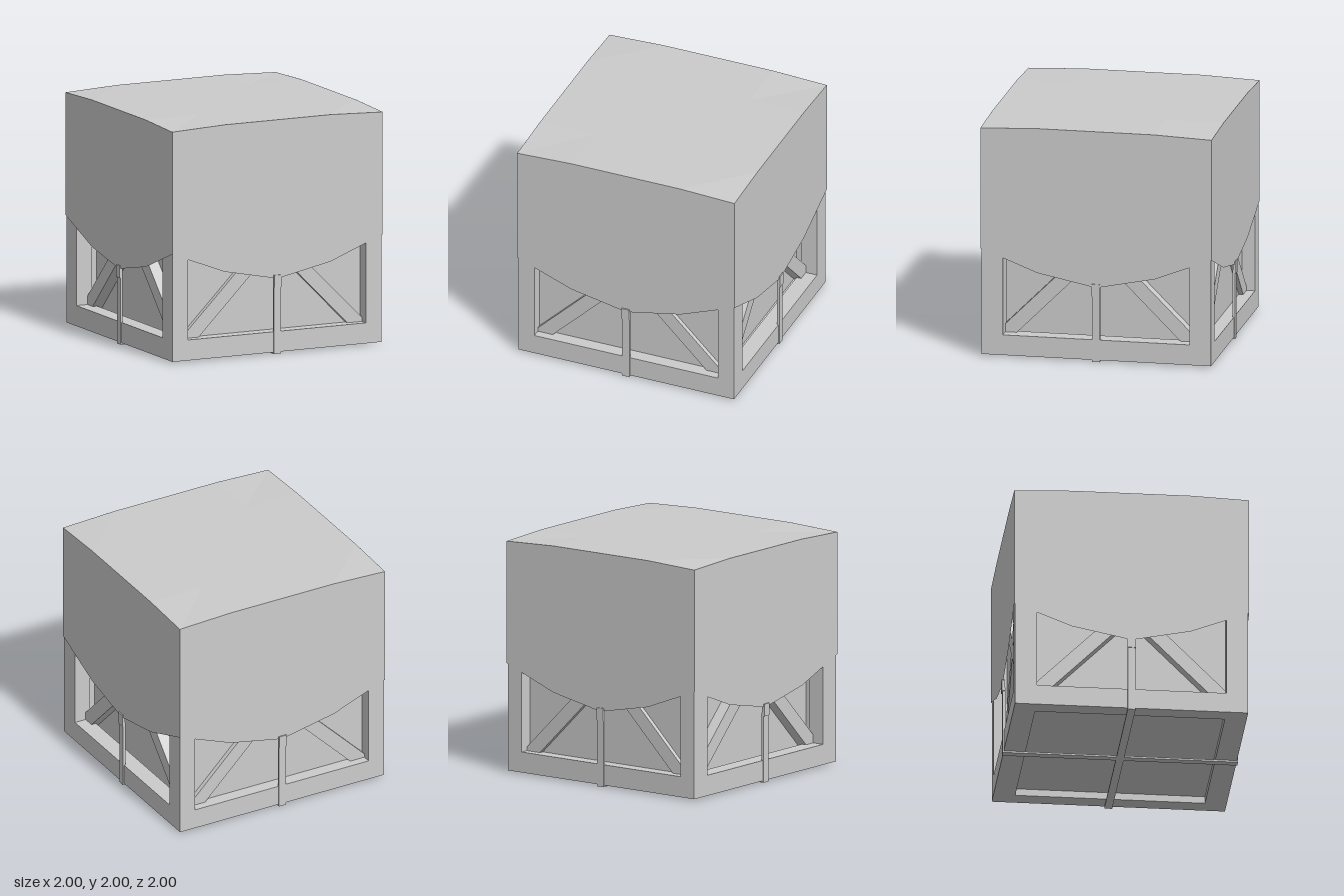
import * as THREE from 'three';

const grey = new THREE.MeshStandardMaterial({ color: 0xcccccc, flatShading: true });
const cloth = new THREE.MeshStandardMaterial({ color: 0xcccccc, flatShading: true, side: THREE.DoubleSide });

// Box given by its lower and upper corners
function box(name, [x0, y0, z0], [x1, y1, z1], parent) {
  const m = new THREE.Mesh(new THREE.BoxGeometry(x1 - x0, y1 - y0, z1 - z0), grey);
  m.position.set((x0 + x1) / 2, (y0 + y1) / 2, (z0 + z1) / 2);
  m.name = name;
  parent.add(m);
  return m;
}

export function createModel() {
  const model = new THREE.Group();
  model.name = 'coveredCrate';

  const S = 0.983;             // outer half width of the frame
  const IX = 0.837, IZ = 0.8;  // half widths of the openings
  const Y0 = 0.015, Y1 = 1.965;

  // Frame: corner posts with bottom and top rails between them
  const frame = new THREE.Group();
  frame.name = 'frame';
  model.add(frame);
  for (const s of [-1, 1]) {
    const px = s > 0 ? [IX, S] : [-S, -IX];
    const pz = s > 0 ? [IZ, S] : [-S, -IZ];
    for (const [z0, z1] of [[-S, -IZ], [IZ, S]]) {
      box('cornerPost', [px[0], Y0, z0], [px[1], Y1, z1], frame);
    }
    for (const [y0, y1] of [[Y0, 0.19], [1.79, Y1]]) {
      box('longRail', [-IX, y0, pz[0]], [IX, y1, pz[1]], frame);
      box('sideRail', [px[0], y0, -IZ], [px[1], y1, IZ], frame);
    }
  }

  // Recessed panels
  for (const s of [-1, 1]) {
    box('facePanel', [-0.85, 0.1, -0.02], [0.85, 1.9, 0.02], model).position.z = s * 0.85;
    box('sidePanel', [-0.02, 0.1, -0.83], [0.02, 1.9, 0.83], model).position.x = s * 0.76;
  }
  box('floorPanel', [-0.85, 0.075, -0.83], [0.85, 0.115, 0.83], model);

  // Per wall: crossed braces, hanging cloth and a strap
  for (let i = 0; i < 4; i++) {
    const wall = new THREE.Group();
    wall.name = ['frontWall', 'leftWall', 'backWall', 'rightWall'][i];
    wall.rotation.y = i * Math.PI / 2;
    model.add(wall);

    const [z0, z1] = i % 2 ? [0.77, 0.88] : [0.86, 0.91];
    for (const s of [-1, 1]) {
      const brace = box('crossBrace', [-1.2, -0.06, z0], [1.2, 0.06, z1], wall);
      brace.position.y = 0.975;
      brace.rotation.z = s * Math.PI / 4;
    }

    // Cover side with a sagging lower hem
    const outline = [
      [-0.99, 0.935], [-0.5, 0.745], [0, 0.643], [0.5, 0.745], [0.99, 0.935],
      [0.99, 1.98], [0.5, 2], [-0.5, 2], [-0.99, 1.98],
    ].map(p => new THREE.Vector2(...p));
    const side = new THREE.Mesh(new THREE.ShapeGeometry(new THREE.Shape(outline)), cloth);
    side.position.z = 0.99;
    side.name = 'coverSide';
    wall.add(side);

    // Strap with a thicker end clip gripping the hem
    box('strap', [-0.033, 0, 0.97], [0.033, 0.6, 0.992], wall);
    box('strapClip', [-0.035, 0.57, 0.975], [0.035, 0.675, 1], wall);
  }

  // Straps crossing under the floor
  box('floorStrap', [-0.033, 0, -0.99], [0.033, 0.015, 0.99], model);
  box('floorStrap', [-0.99, 0, -0.033], [0.99, 0.015, 0.033], model);

  // Cover top with slightly drooping corners
  const top = new THREE.PlaneGeometry(1.98, 1.98, 4, 4).rotateX(-Math.PI / 2);
  const pos = top.attributes.position;
  for (let i = 0; i < pos.count; i++) {
    const corner = Math.abs(pos.getX(i)) > 0.9 && Math.abs(pos.getZ(i)) > 0.9;
    pos.setY(i, corner ? 1.98 : 2);
  }
  top.computeVertexNormals();
  const cover = new THREE.Mesh(top, cloth);
  cover.name = 'coverTop';
  model.add(cover);

  return model;
}
